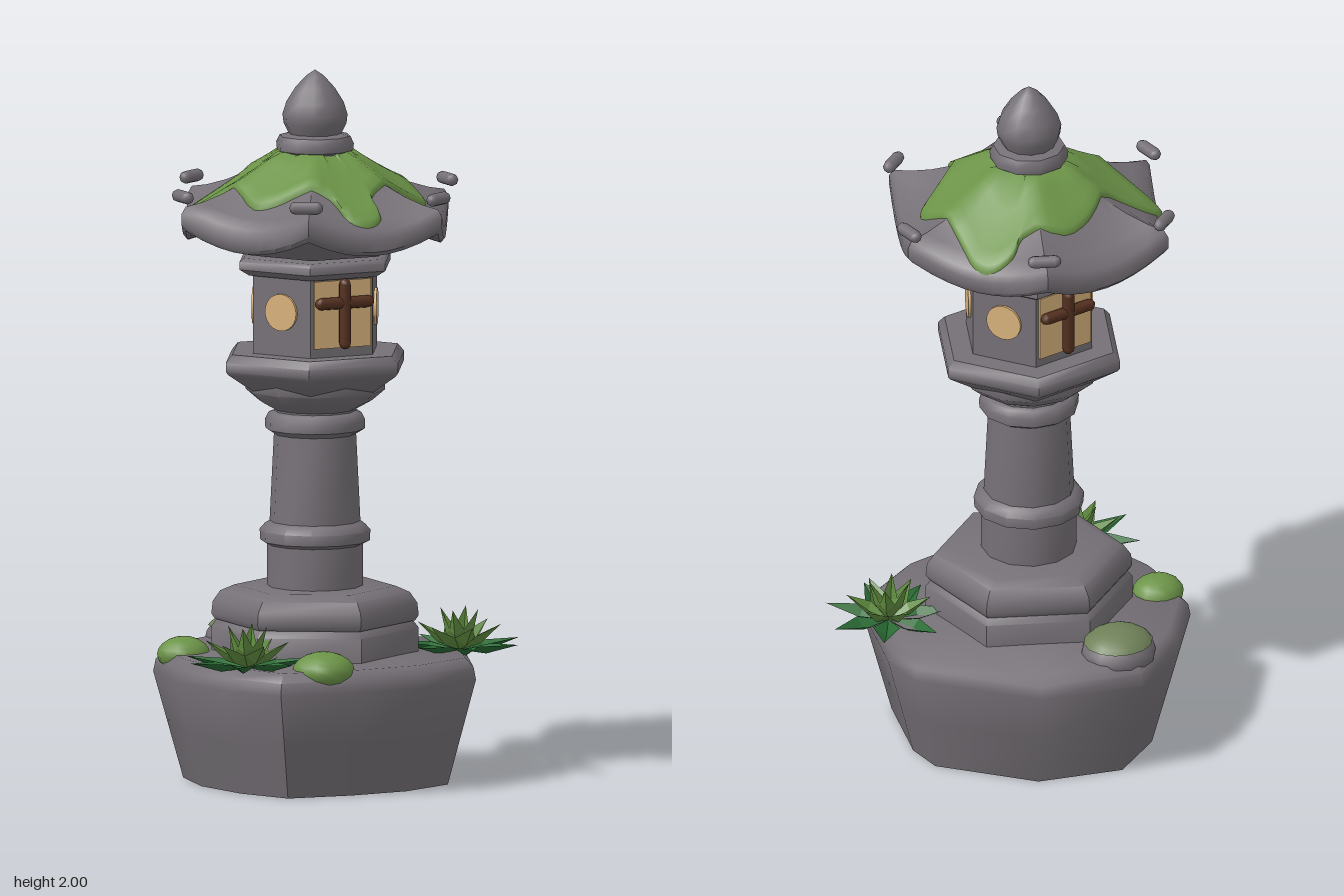
import * as THREE from 'three';
import { toCreasedNormals } from 'three/addons/utils/BufferGeometryUtils.js';

const mat = (name, color, side = THREE.FrontSide) => {
  const m = new THREE.MeshStandardMaterial({ color, side });
  m.name = name;
  return m;
};
const stone = mat('stone', 0x757076);
const moss = mat('moss', 0x6c9448);
const paleMoss = mat('pale moss', 0x6e8058);
const paper = mat('paper', 0xd8b27c);
const wood = mat('wood', 0x54301f);
const darkLeaf = mat('dark leaf', 0x2a6b34, THREE.DoubleSide);
const lightLeaf = mat('light leaf', 0x5f8a3f, THREE.DoubleSide);

const CX = -0.03, CZ = 0.03; // lantern axis

function add(parent, name, geo, material, x = 0, y = 0, z = 0) {
  const mesh = new THREE.Mesh(geo, material);
  mesh.name = name;
  mesh.position.set(x, y, z);
  parent.add(mesh);
  return mesh;
}

// skin rings of [x, y, z] points, listed from bottom to top
function loft(rings, crease) {
  const n = rings[0].length, index = [];
  for (let i = 0; i < rings.length - 1; i++) {
    for (let j = 0; j < n; j++) {
      const a = i * n + j, b = i * n + (j + 1) % n;
      index.push(a, a + n, b, b, a + n, b + n);
    }
  }
  const g = new THREE.BufferGeometry();
  g.setAttribute('position', new THREE.Float32BufferAttribute(rings.flat(2), 3));
  g.setIndex(index);
  return toCreasedNormals(g, crease);
}

// stack of regular polygons from a profile of [radius, y]
function tier(profile, sides, turn = 0, crease = 0.85) {
  return loft(profile.map(([r, y]) => Array.from({ length: sides }, (_, j) => {
    const a = turn + j / sides * Math.PI * 2;
    return [Math.cos(a) * r, y, Math.sin(a) * r];
  })), crease);
}

// roof: hexagonal distance (1 at the eave), corner weight, and height
const AP = 0.36, ZS = 1.05;
const hexT = (x, z) => Math.max(Math.abs(z / ZS), Math.abs(z / ZS) / 2 + Math.abs(x) * 0.866) / AP;
function corner(x, z) {
  const t = hexT(x, z);
  return t < 1e-5 ? 0 : (Math.hypot(x, z / ZS) / (t * AP) - 1) / 0.1547;
}
const roofY = (x, z) => {
  const t = hexT(x, z), s = Math.max(0, t - 0.28) / 0.72;
  return 1.757 - 0.205 * s + 0.03 * s * s + 0.055 * corner(x, z) * t ** 3;
};

function roofGeometry() {
  const seg = 48;
  const ring = (t, yOf) => Array.from({ length: seg }, (_, j) => {
    const a = j / seg * Math.PI * 2, c = Math.cos(a), s = Math.sin(a) * ZS;
    const k = t / hexT(c, s);
    return [c * k, yOf(c * k, s * k), s * k];
  });
  const rings = [ring(0.0001, () => 1.49), ring(0.5, () => 1.49)];
  [[0.75, 0.09], [0.97, 0.068], [1, 0.05], [1, 0.018]].forEach(([t, d]) =>
    rings.push(ring(t, (x, z) => roofY(x, z) - d)));
  [0.97, 0.85, 0.7, 0.55, 0.4, 0.28, 0.0001].forEach(t => rings.push(ring(t, roofY)));
  return loft(rings, 0.75);
}

// moss sheet draped over the roof
function roofMossGeometry() {
  const outline = [[-0.32, -0.19], [-0.3, -0.207], [-0.235, -0.2], [-0.145, -0.18], [-0.04, -0.235],
    [0.06, -0.255], [0.17, -0.205], [0.22, -0.23], [0.28, -0.22], [0.307, -0.17], [0.298, -0.1],
    [0.28, 0.03], [0.287, 0.115], [0.26, 0.15], [0.19, 0.18], [0.077, 0.227], [0.05, 0.255],
    [0.043, 0.327], [-0.01, 0.352], [-0.057, 0.327], [-0.074, 0.247], [-0.136, 0.2], [-0.207, 0.165],
    [-0.25, 0.122], [-0.253, 0.005], [-0.315, -0.14]].map(([x, z]) => new THREE.Vector3(x, 0, z));
  const pts = new THREE.CatmullRomCurve3(outline, true).getPoints(78).slice(0, -1);
  const steps = [[1, -0.01], [1, 0.008], [0.97, 0.017], [0.85, 0.017], [0.7, 0.017], [0.55, 0.017], [0.4, 0.017], [0.2, 0.017]];
  return loft(steps.map(([s, d]) => pts.map(p => [p.x * s, roofY(p.x * s, p.z * s) + d, p.z * s])), 1.2);
}

function rockGeometry() {
  const outline = [[-0.07, -0.46], [0.21, -0.36], [0.43, -0.065], [0.425, 0.07], [0.31, 0.355],
    [0.11, 0.44], [-0.1, 0.45], [-0.33, 0.42], [-0.42, 0.24], [-0.46, 0.02], [-0.42, -0.2], [-0.27, -0.355]];
  const steps = [[0.0001, 0], [0.82, 0], [0.91, 0.15], [1, 0.3], [0.985, 0.335], [0.93, 0.36], [0.0001, 0.37]];
  return loft(steps.map(([s, y]) => outline.map(([x, z]) => [x * s, y, z * s])), 0.9);
}

// folded diamond leaf pointing along +z
function leafGeometry(len, width) {
  const w = width / 2, g = new THREE.BufferGeometry();
  const base = [0, 0, 0], l = [w, 0.012, len * 0.45], r = [-w, 0.012, len * 0.45];
  const mid = [0, -0.012, len * 0.45], tip = [0, 0.01, len];
  g.setAttribute('position', new THREE.Float32BufferAttribute(
    [base, mid, l, base, r, mid, mid, tip, l, r, tip, mid].flat(), 3));
  g.computeVertexNormals();
  return g;
}

function plant(name, x, z, turn) {
  const g = new THREE.Group();
  g.name = name;
  g.position.set(x, 0.36, z);
  // count, length, width, upward tilt, material
  [[7, 0.185, 0.075, 0.08, darkLeaf], [6, 0.14, 0.06, 0.5, lightLeaf], [4, 0.13, 0.045, 1.05, lightLeaf]]
    .forEach(([n, len, w, tilt, m], k) => {
      const geo = leafGeometry(len, w);
      for (let i = 0; i < n; i++) {
        const leaf = add(g, 'leaf', geo, m);
        leaf.rotation.set(-tilt, turn + k * 0.4 + i / n * Math.PI * 2, 0, 'YXZ');
      }
    });
  return g;
}

export function createModel() {
  const model = new THREE.Group();
  model.name = 'stoneLantern';
  add(model, 'baseRock', rockGeometry(), stone);

  const lantern = new THREE.Group();
  lantern.name = 'lantern';
  lantern.position.set(CX, 0, CZ);
  model.add(lantern);

  // pedestal and column
  add(lantern, 'lowerStep', tier([[0.29, 0.34], [0.29, 0.43], [0.27, 0.455], [0, 0.455]], 6, Math.PI / 6), stone);
  add(lantern, 'upperStep', tier([[0, 0.45], [0.28, 0.45], [0.29, 0.465], [0.286, 0.5], [0.265, 0.53],
    [0.225, 0.547], [0, 0.55]], 6, Math.PI / 6), stone);
  add(lantern, 'column', tier([[0.134, 0.53], [0.134, 0.665], [0.153, 0.675], [0.155, 0.705], [0.14, 0.722],
    [0.127, 0.73], [0.115, 0.975], [0.139, 0.99], [0.14, 1.015], [0.13, 1.035], [0.115, 1.04],
    [0.115, 1.06], [0, 1.06]], 12), stone);

  // flared support and light chamber
  add(lantern, 'flare', tier([[0, 1.045], [0.115, 1.045], [0.16, 1.07], [0.195, 1.1], [0.195, 1.13], [0, 1.13]], 12), stone);
  add(lantern, 'platform', tier([[0, 1.105], [0.195, 1.105], [0.27, 1.155], [0.278, 1.165], [0.278, 1.19],
    [0.258, 1.212], [0, 1.212]], 6), stone);
  add(lantern, 'chamber', tier([[0.193, 1.2], [0.193, 1.45]], 6), stone);
  add(lantern, 'cornice', tier([[0, 1.432], [0.205, 1.432], [0.235, 1.45], [0.235, 1.472], [0.222, 1.482],
    [0.17, 1.484], [0.17, 1.5], [0, 1.5]], 6), stone);

  // windows with wooden crosses, front and back
  for (const s of [1, -1]) {
    const win = new THREE.Group();
    win.name = s > 0 ? 'frontWindow' : 'backWindow';
    win.rotation.y = s > 0 ? 0 : Math.PI;
    lantern.add(win);
    add(win, 'windowPaper', new THREE.BoxGeometry(0.176, 0.19, 0.009), paper, 0, 1.333, 0.17);
    add(win, 'verticalBar', new THREE.CapsuleGeometry(0.017, 0.166, 3, 8), wood, 0, 1.335, 0.188);
    add(win, 'crossBar', new THREE.CapsuleGeometry(0.017, 0.146, 3, 8), wood, 0, 1.366, 0.186).rotation.z = Math.PI / 2;
  }

  // round lights on the four slanted faces
  const disc = new THREE.CylinderGeometry(0.052, 0.052, 0.009, 24).rotateX(Math.PI / 2);
  for (const deg of [60, 120, 240, 300]) {
    const a = deg * Math.PI / 180;
    add(lantern, 'roundLight', disc, paper, Math.sin(a) * 0.17, 1.335, Math.cos(a) * 0.17).rotation.y = a;
  }

  // roof with moss and corner knobs
  add(lantern, 'roof', roofGeometry(), stone);
  add(lantern, 'roofMoss', roofMossGeometry(), moss);
  const knob = new THREE.CapsuleGeometry(0.018, 0.058, 3, 8).rotateX(Math.PI / 2);
  for (let i = 0; i < 6; i++) {
    const a = i * Math.PI / 3;
    add(lantern, 'cornerKnob', knob, stone, Math.cos(a) * 0.412, 1.667, -Math.sin(a) * 0.415).rotation.y = a;
  }

  // finial
  add(lantern, 'finialCollar', tier([[0.085, 1.74], [0.088, 1.765], [0.108, 1.775], [0.11, 1.795],
    [0.1, 1.815], [0.07, 1.822], [0, 1.822]], 10), stone);
  add(lantern, 'finialBud', tier([[0.068, 1.81], [0.088, 1.85], [0.091, 1.875], [0.08, 1.91], [0.055, 1.95],
    [0.025, 1.983], [0, 2]], 12), stone);

  // mossy mounds on the rock
  const mound = (name, m, x, z, rx, h, rz) =>
    add(model, name, new THREE.SphereGeometry(1, 14, 10), m, x, 0.355, z).scale.set(rx, h, rz);
  mound('frontMoss', moss, -0.17, 0.365, 0.088, 0.055, 0.085);
  mound('sideMoss', moss, -0.365, -0.12, 0.075, 0.05, 0.07);
  mound('backStone', stone, -0.07, -0.34, 0.108, 0.07, 0.1);
  add(model, 'backStoneMoss', new THREE.SphereGeometry(1, 14, 6, 0, Math.PI * 2, 0, 1.1), paleMoss, -0.07, 0.358, -0.34)
    .scale.set(0.112, 0.074, 0.104);

  // leafy plants
  model.add(plant('rightPlant', -0.345, 0.24, -1.5));
  model.add(plant('leftPlant', 0.345, 0.18, 1.55));
  return model;
}
